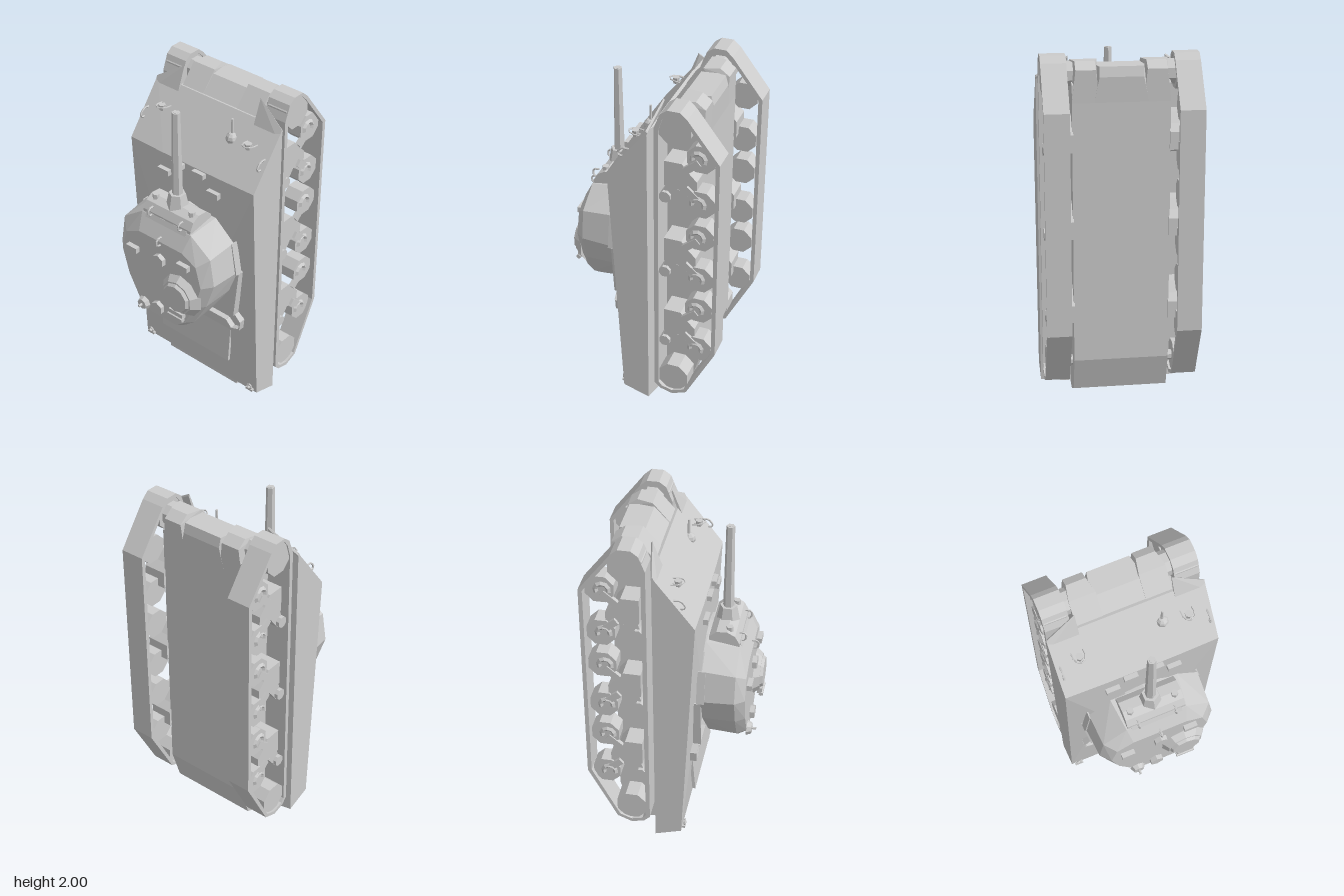
import * as THREE from 'three';
import { ConvexGeometry } from 'three/addons/geometries/ConvexGeometry.js';

const mat = new THREE.MeshStandardMaterial({ color: 0xcccccc, flatShading: true, side: THREE.DoubleSide });

export function createModel() {
  const root = new THREE.Group();
  root.name = 'tank';

  const add = (name, geo, x = 0, y = 0, z = 0, parent = root) => {
    const m = new THREE.Mesh(geo, mat);
    m.name = name;
    m.position.set(x, y, z);
    parent.add(m);
    return m;
  };
  const group = (name) => {
    const g = new THREE.Group();
    g.name = name;
    root.add(g);
    return g;
  };
  const box = (name, w, h, d, x, y, z, p) => add(name, new THREE.BoxGeometry(w, h, d), x, y, z, p);
  // cylinders along each axis; the first radius is at the + end
  const cylX = (name, r, len, n, x, y, z, p) =>
    add(name, new THREE.CylinderGeometry(r, r, len, n).rotateY(Math.PI / n).rotateZ(Math.PI / 2), x, y, z, p);
  const cylY = (name, r1, r2, len, n, x, y, z, p) =>
    add(name, new THREE.CylinderGeometry(r1, r2, len, n), x, y, z, p);
  const cylZ = (name, r1, r2, len, n, x, y, z, p) =>
    add(name, new THREE.CylinderGeometry(r1, r2, len, n).rotateX(Math.PI / 2), x, y, z, p);
  // solid from corner points [x, y, z], mirrored in x
  const solid = (name, pts, p) => add(name, new ConvexGeometry(
    pts.flatMap(([x, y, z]) => [new THREE.Vector3(x, y, z), new THREE.Vector3(-x, y, z)])), 0, 0, 0, p);
  // profile of [z, y] points extruded from x0 to x1
  const flip = (pts) => pts.map(([z, y]) => new THREE.Vector2(-z, y));
  const extrudeX = (name, pts, x0, x1, p, hole) => {
    const s = new THREE.Shape(flip(pts));
    if (hole) s.holes.push(new THREE.Path(flip(hole)));
    const g = new THREE.ExtrudeGeometry(s, { depth: x1 - x0, bevelEnabled: false }).rotateY(Math.PI / 2);
    return add(name, g, x0, 0, 0, p);
  };
  const tube = (name, pts, r, p, x = 0, y = 0, z = 0) => add(name, new THREE.TubeGeometry(
    new THREE.CatmullRomCurve3(pts.map((q) => new THREE.Vector3(...q))), 8, r, 5), x, y, z, p);
  const deckZ = (y) => (y > 1.08 ? 0.165 : 0.085 + 0.08 * (y - 0.08));

  // Hull: wide upper body and narrow belly
  const hull = group('hull');
  solid('upperHull', [
    [0.445, 0.08, 0.085], [0.445, 0.03, -0.07], [0.30, 0.03, -0.10], [0.30, 1.85, -0.10], [0.445, 1.86, -0.07],
    [0.445, 1.80, -0.035], [0.445, 1.56, 0.16], [0.25, 1.08, 0.165], [0.2, 1.56, 0.165]], hull);
  extrudeX('lowerHull', [[0.06, 0.03], [-0.15, 0], [-0.26, 0.05], [-0.32, 0.25], [-0.32, 1.85],
    [-0.2, 1.88], [-0.03, 1.79]], -0.27, 0.27, hull);
  // nose casting: flatter centre, bulged ends
  solid('noseCentre', [[0.17, 1.78, -0.02], [0.15, 1.945, -0.17], [0.12, 1.945, -0.31], [0.12, 1.89, -0.325],
    [0.15, 1.75, -0.32]], hull);
  for (const s of [-1, 1]) {
    const e = solid('noseEnd', [[0.075, 1.78, -0.02], [0.075, 1.965, -0.18], [0.055, 1.97, -0.27],
      [0.055, 1.93, -0.325], [0.075, 1.75, -0.32]], hull);
    e.position.x = s * 0.195;
    // front fender over the track
    add('fender', new ConvexGeometry([[0.27, 1.97, -0.1], [0.27, 1.8, -0.035], [0.445, 1.8, -0.035],
      [0.445, 1.86, -0.065], [0.27, 1.96, -0.106], [0.27, 1.8, -0.055], [0.445, 1.8, -0.055], [0.445, 1.85, -0.075]]
      .map(([x, y, z]) => new THREE.Vector3(s * x, y, z))), 0, 0, 0, hull);
  }
  const hatch = box('engineDeckPlate', 0.525, 0.255, 0.018, 0, 0.392, 0.118, hull);
  hatch.rotation.x = -0.08;

  // Running gear
  const outer = [[-0.105, 0.15], [-0.105, 1.88], [-0.14, 1.97], [-0.18, 2], [-0.25, 2], [-0.29, 1.965],
    [-0.47, 1.73], [-0.47, 0.465], [-0.30, 0.13], [-0.215, 0.095], [-0.14, 0.115]];
  const inner = [[-0.13, 0.16], [-0.13, 1.87], [-0.155, 1.95], [-0.18, 1.98], [-0.245, 1.98], [-0.28, 1.945],
    [-0.447, 1.725], [-0.447, 0.47], [-0.285, 0.145], [-0.215, 0.118], [-0.15, 0.135]];
  for (const s of [-1, 1]) {
    const gear = group(s > 0 ? 'leftRunningGear' : 'rightRunningGear');
    extrudeX('track', outer, s > 0 ? 0.295 : -0.435, s > 0 ? 0.435 : -0.295, gear, inner);
    cylX('sprocket', 0.1, 0.125, 8, s * 0.365, 1.895, -0.215, gear);
    cylX('idler', 0.095, 0.115, 8, s * 0.365, 0.212, -0.215, gear);
    cylX('finalDrive', 0.07, 0.07, 8, s * 0.29, 1.895, -0.22, gear);
    cylX('idlerAxle', 0.03, 0.07, 8, s * 0.29, 0.212, -0.215, gear);
    for (const c of [1.59, 1.095, 0.60]) {
      const x0 = s > 0 ? 0.265 : -0.40, x1 = s > 0 ? 0.40 : -0.265;
      // bogie bracket
      extrudeX('bogie', [[-0.15, c + 0.085], [-0.25, c + 0.085], [-0.295, c + 0.03], [-0.335, c - 0.01],
        [-0.335, c - 0.11], [-0.255, c - 0.08], [-0.15, c - 0.065]], x0, x1, gear);
      extrudeX('rollerBracket', [[-0.16, c - 0.06], [-0.24, c - 0.08], [-0.18, c - 0.16], [-0.13, c - 0.16]],
        x0, x1, gear);
      cylX('returnRoller', 0.034, 0.13, 8, s * 0.355, c - 0.13, -0.16, gear);
      for (const d of [-0.14, 0.14]) {
        cylX('roadWheel', 0.085, 0.1, 8, s * 0.36, c + d, -0.36, gear);
        // curled swing arm on the wheel face
        const arm = add('swingArm', new THREE.TorusGeometry(0.036, 0.015, 4, 6, Math.PI * 1.25)
          .rotateZ(-0.5).rotateY(Math.PI / 2), s * 0.41, c + d, -0.345, gear);
        arm.scale.x = 0.8;
        const link = box('armLink', 0.024, 0.04, 0.1, s * 0.405, c + d * 0.62, -0.31, gear);
        link.rotation.x = Math.sign(d) * 0.7;
      }
    }
  }

  // Turret
  const turret = group('turret');
  cylZ('turretRing', 0.28, 0.28, 0.09, 16, 0, 1.04, 0.155, turret);
  const ringAt = (z, pts) => pts.map(([x, y]) => [x, y, z]);
  solid('turretShell', [
    ...ringAt(0.18, [[0.2, 1.31], [0.33, 1.2], [0.36, 1.01], [0.30, 0.85]]),
    ...ringAt(0.2, [[0.2, 0.69], [0.13, 0.635]]),
    ...ringAt(0.365, [[0.18, 1.28], [0.32, 1.18], [0.347, 1.01], [0.29, 0.84], [0.2, 0.68], [0.13, 0.62]]),
    ...ringAt(0.418, [[0.16, 1.18], [0.26, 1.13], [0.295, 1.0], [0.25, 0.84], [0.17, 0.69], [0.11, 0.64]])], turret);
  // mantlet, rounded around the gun trunnion
  extrudeX('mantlet', [[0.19, 1.29], [0.19, 1.33], [0.23, 1.365], [0.29, 1.37], [0.335, 1.345], [0.36, 1.30],
    [0.365, 1.25]], -0.173, 0.173, turret);
  box('mantletCover', 0.3, 0.06, 0.03, 0, 1.258, 0.36, turret).rotation.x = -0.4;
  cylY('gunCollar', 0.048, 0.066, 0.09, 6, 0, 1.39, 0.27, turret);
  cylY('barrel', 0.024, 0.032, 0.56, 6, 0, 1.665, 0.27, turret);
  cylY('muzzleBore', 0.014, 0.014, 0.002, 6, 0, 1.946, 0.27, turret);
  for (const s of [-1, 1]) {
    cylY('mantletBolt', 0.02, 0.02, 0.04, 6, s * 0.132, 1.365, 0.3, turret);
    tube('mantletHook', [[0, 0.025, -0.01], [0, 0.02, 0.022], [0, -0.02, 0.022], [0, -0.025, -0.01]], 0.006,
      turret, s * 0.11, 1.31, 0.362);
  }
  tube('roofHook', [[0, 0.025, -0.01], [0, 0.02, 0.025], [0, -0.02, 0.025], [0, -0.025, -0.01]], 0.006,
    turret, 0, 1.185, 0.418);
  // roof fittings
  box('turretPeriscope', 0.078, 0.034, 0.035, -0.2, 1.05, 0.43, turret);
  box('turretPeriscope', 0.078, 0.034, 0.035, 0.18, 1.105, 0.43, turret);
  cylZ('ventilator', 0.04, 0.042, 0.03, 6, 0, 1.06, 0.43, turret);
  cylZ('rearCap', 0.042, 0.042, 0.03, 6, -0.02, 0.71, 0.43, turret);
  cylZ('antennaBase', 0.032, 0.045, 0.03, 8, -0.135, 0.68, 0.43, turret);
  cylZ('antenna', 0.008, 0.008, 0.06, 6, -0.135, 0.68, 0.44, turret);
  // cupola
  cylZ('cupolaBase', 0.105, 0.145, 0.05, 10, 0.148, 0.885, 0.43, turret);
  cylZ('cupolaHatch', 0.085, 0.098, 0.02, 10, 0.148, 0.885, 0.462, turret);
  box('hatchHinge', 0.1, 0.035, 0.03, 0.148, 0.775, 0.452, turret);
  cylX('hingePin', 0.014, 0.11, 6, 0.148, 0.755, 0.462, turret);

  // Deck fittings
  const deck = group('deckFittings');
  for (const s of [-1, 1]) {
    box('driverPeriscope', 0.08, 0.03, 0.035, s * 0.075, 1.54, 0.175, deck);
    box('driverPeriscope', 0.08, 0.034, 0.035, s * 0.18, 1.455, 0.175, deck);
    // headlamp with wire guard
    cylY('headlamp', 0.022, 0.016, 0.035, 6, s * 0.31, 1.755, 0.045, deck);
    box('lampStem', 0.012, 0.012, 0.05, s * 0.31, 1.745, 0.02, deck);
    tube('lampGuard', [[-0.033, 0, -0.03], [-0.03, 0.01, 0.04], [0, 0.012, 0.062], [0.03, 0.01, 0.04],
      [0.033, 0, -0.03]], 0.004, deck, s * 0.31, 1.755, 0.02);
    tube('frontHook', [[0, 0.025, -0.03], [0, 0.025, 0.015], [0, -0.015, 0.04], [0, -0.025, 0]], 0.006,
      deck, s * 0.42, 1.69, 0.065);
    // rear lifting eyes
    add('rearEye', new THREE.TorusGeometry(0.016, 0.005, 5, 8), s * 0.4, 0.115, 0.1, deck);
    box('rearEyeBase', 0.05, 0.014, 0.03, s * 0.4, 0.095, 0.09, deck);
    // low splash wall around the turret
    const path = [[0.33, 1.2], [0.365, 1.0], [0.33, 0.68], [0.368, 0.64], [0.36, 0.575], [0.30, 0.555],
      [0.26, 0.6], [0.07, 0.6], [0, 0.57]];
    for (let i = 0; i + 1 < path.length; i++) {
      const [ax, ay] = path[i], [bx, by] = path[i + 1], my = (ay + by) / 2;
      const w = box('splashWall', Math.hypot(bx - ax, by - ay), 0.008, 0.045, s * (ax + bx) / 2, my,
        deckZ(my) + 0.012, deck);
      w.rotation.z = Math.atan2(by - ay, s * (bx - ax));
    }
  }
  // bow machine gun
  add('gunBall', new THREE.SphereGeometry(0.036, 8, 6), 0.172, 1.735, 0.015, deck);
  cylY('bowGun', 0.007, 0.009, 0.11, 6, 0.172, 1.8, 0.012, deck);

  return root;
}
